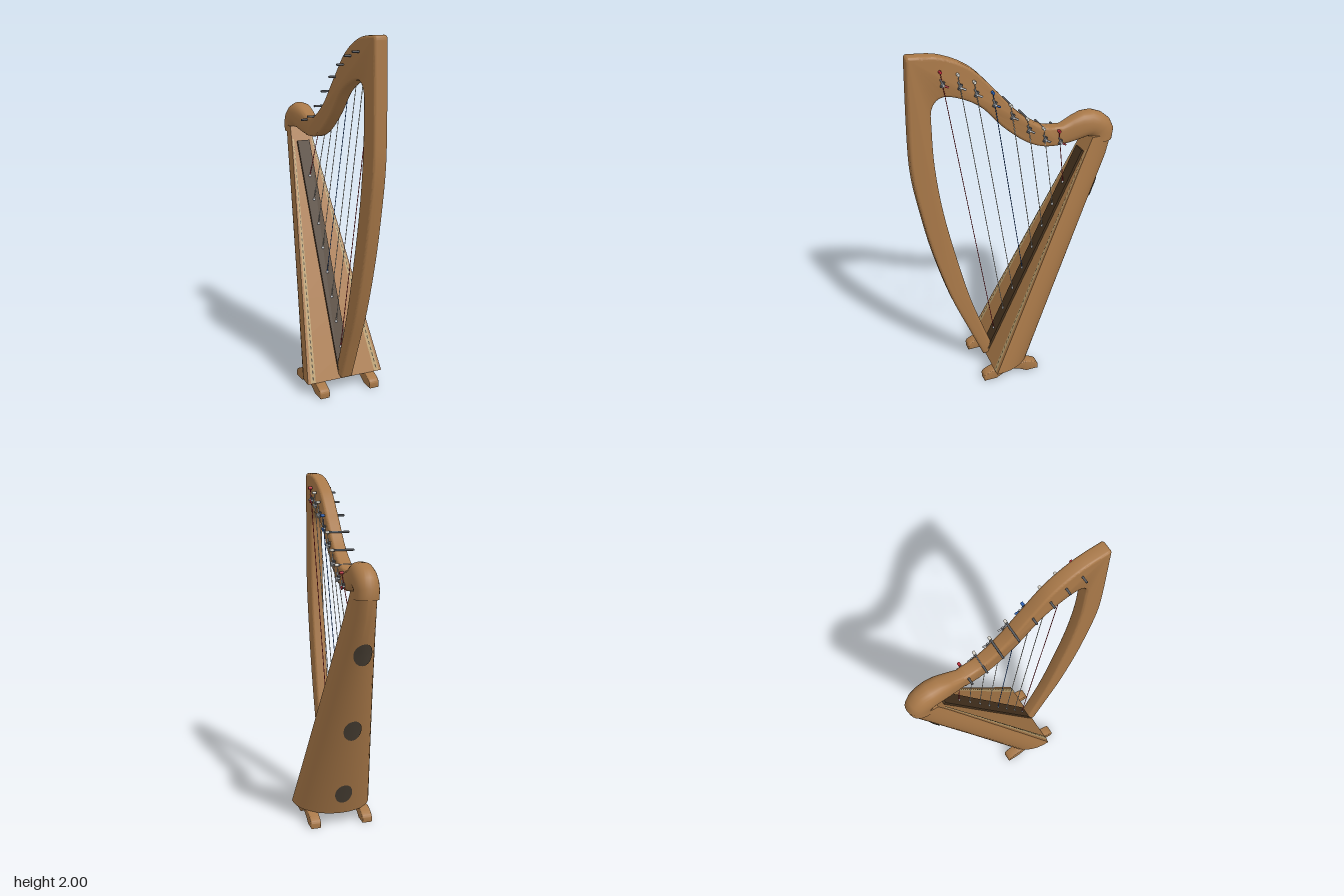
import * as THREE from 'three';
import { toCreasedNormals } from 'three/addons/utils/BufferGeometryUtils.js';

const mat = (name, color, side = THREE.FrontSide) => {
  const m = new THREE.MeshStandardMaterial({ color, side });
  m.name = name;
  return m;
};
const V = (x, y, z) => new THREE.Vector3(x, y, z);
const SLOPE = 0.4667; // soundboard lean: z lost per unit of height
const boardZ = (y) => 0.2 - (y - 0.07) * SLOPE;

// Soundbox stations: height, back z, half width
const STATIONS = [[0.07, -0.06, 0.232], [0.5, -0.23, 0.176], [1.0, -0.427, 0.112], [1.3, -0.545, 0.074], [1.45, -0.582, 0.06]];
function station(y) {
  let i = 0;
  while (i < STATIONS.length - 2 && y > STATIONS[i + 1][0]) i++;
  const a = STATIONS[i], b = STATIONS[i + 1], t = (y - a[0]) / (b[0] - a[0]);
  return { back: a[1] + (b[1] - a[1]) * t, w: a[2] + (b[2] - a[2]) * t };
}
// Point on the rounded back; angle 0..PI runs from one board edge to the other
function bodyPoint(y, a, lift = 0) {
  const { back, w } = station(y), depth = boardZ(y) - back;
  const s = Math.pow(Math.max(0, Math.sin(a)), 0.85);
  return V((w + lift) * Math.cos(a), y, boardZ(y) - (depth + lift) * s);
}

// Skin a list of closed rings and cap both ends
function loft(rings, crease = 0.7) {
  const n = rings[0].length, pos = [], idx = [];
  rings.forEach((r) => r.forEach((p) => pos.push(p.x, p.y, p.z)));
  for (let i = 0; i < rings.length - 1; i++)
    for (let j = 0; j < n; j++) {
      const k = (j + 1) % n, a = i * n + j, b = i * n + k, c = a + n, d = b + n;
      idx.push(a, b, d, a, d, c);
    }
  const last = (rings.length - 1) * n;
  for (let j = 1; j < n - 1; j++) idx.push(0, j + 1, j, last, last + j, last + j + 1);
  const g = new THREE.BufferGeometry();
  g.setAttribute('position', new THREE.Float32BufferAttribute(pos, 3));
  g.setIndex(idx);
  return toCreasedNormals(g, crease);
}

// Extrude a (z, y) outline across x, centred on x = 0
function slab(shape, width, bevel, curveSegments = 12) {
  const g = new THREE.ExtrudeGeometry(shape, {
    depth: width - 2 * bevel, bevelEnabled: true, bevelSize: bevel, bevelOffset: -bevel,
    bevelThickness: bevel, bevelSegments: 3, curveSegments,
  });
  g.translate(0, 0, -(width - 2 * bevel) / 2);
  g.rotateY(-Math.PI / 2);
  return toCreasedNormals(g, 0.6);
}
const spline = (shape, pts) => shape.splineThru(pts.map(([z, y]) => new THREE.Vector2(z, y)));

// Thin strip lying on the soundboard between two fractions of its half width
function boardStrip(f0, f1, y0, y1, lift, steps) {
  const pos = [], idx = [];
  for (let i = 0; i <= steps; i++) {
    const y = y0 + ((y1 - y0) * i) / steps, w = station(y).w;
    for (const f of [f0, f1]) pos.push(w * f, y, boardZ(y) + lift);
    if (i) idx.push(2 * i - 2, 2 * i - 1, 2 * i + 1, 2 * i - 2, 2 * i + 1, 2 * i);
  }
  const g = new THREE.BufferGeometry();
  g.setAttribute('position', new THREE.Float32BufferAttribute(pos, 3));
  g.setIndex(idx);
  g.computeVertexNormals();
  return g;
}

// Cylinder between two points
function rod(a, b, r, sides = 8) {
  const d = b.clone().sub(a), g = new THREE.CylinderGeometry(r, r, d.length(), sides);
  g.applyQuaternion(new THREE.Quaternion().setFromUnitVectors(V(0, 1, 0), d.clone().normalize()));
  const c = a.clone().add(b).multiplyScalar(0.5);
  return g.translate(c.x, c.y, c.z);
}

export function createModel() {
  const group = new THREE.Group();
  const wood = mat('wood', 0xa87848);
  const darkWood = mat('darkWood', 0x46331f);
  const inlay = mat('inlay', 0xb89c6c, THREE.DoubleSide);
  const inlayDark = mat('inlayDark', 0x4a4026, THREE.DoubleSide);
  const hole = mat('holeShade', 0x483f34, THREE.DoubleSide);
  const steel = mat('steel', 0x5a5c60);
  const silver = mat('silver', 0xc4c8cc);
  const white = mat('whiteString', 0xdedad0);
  const red = mat('redString', 0xc0303c);
  const blue = mat('blueString', 0x3068c0);
  const add = (name, geo, m) => {
    const mesh = new THREE.Mesh(geo, m);
    mesh.name = name;
    group.add(mesh);
    return mesh;
  };

  // Pillar and neck in one curved outline
  const frame = new THREE.Shape();
  frame.moveTo(-0.26, 1.51);
  spline(frame, [[-0.155, 1.526], [-0.02, 1.62], [0.11, 1.765], [0.245, 1.905], [0.4, 1.982], [0.555, 2.0]]);
  frame.quadraticCurveTo(0.57, 2.0, 0.572, 1.98);
  spline(frame, [[0.583, 1.55], [0.577, 1.34], [0.545, 1.13], [0.49, 0.86], [0.4, 0.545], [0.297, 0.28], [0.217, 0.08]]);
  frame.lineTo(0.165, 0.08);
  frame.lineTo(0.165, 0.15);
  spline(frame, [[0.28, 0.49], [0.366, 0.84], [0.424, 1.13], [0.455, 1.39], [0.461, 1.6], [0.455, 1.72], [0.4, 1.772],
    [0.3, 1.75], [0.19, 1.685], [0.075, 1.56], [-0.05, 1.457], [-0.155, 1.41], [-0.26, 1.4]]);
  add('pillarAndNeck', slab(frame, 0.075, 0.014, 36), wood);

  // Shoulder: outer z,y / inner z,y / half width / squareness
  const shoulder = [
    [-0.2, 1.508, -0.2, 1.408, 0.034, 0.5], [-0.27, 1.514, -0.27, 1.4, 0.04, 0.55], [-0.33, 1.545, -0.32, 1.405, 0.049, 0.65],
    [-0.39, 1.568, -0.36, 1.412, 0.058, 0.75], [-0.45, 1.57, -0.395, 1.42, 0.064, 0.85], [-0.51, 1.547, -0.415, 1.425, 0.065, 0.9],
    [-0.556, 1.508, -0.43, 1.422, 0.064, 0.9], [-0.581, 1.455, -0.436, 1.415, 0.062, 0.9], [-0.573, 1.395, -0.43, 1.39, 0.063, 0.9],
  ];
  const pw = (v, e) => Math.sign(v) * Math.pow(Math.abs(v), e);
  add('shoulder', loft(shoulder.map(([oz, oy, iz, iy, w, e]) =>
    Array.from({ length: 28 }, (_, j) => {
      const a = (j / 28) * Math.PI * 2, c = pw(Math.cos(a), e);
      return V(w * pw(Math.sin(a), e), (oy + iy) / 2 + (c * (oy - iy)) / 2, (oz + iz) / 2 + (c * (oz - iz)) / 2);
    })), 1.0), wood);

  // Soundbox: flat board in front, rounded back
  const levels = [0.07, 0.3, 0.5, 0.75, 1.0, 1.15, 1.3, 1.38, 1.43];
  add('soundbox', loft(levels.map((y) =>
    Array.from({ length: 25 }, (_, j) => bodyPoint(y, (j / 24) * Math.PI)))), wood);

  // Edge inlays with dark dashes
  for (const s of [-1, 1]) {
    add('edgeInlay', boardStrip(s * 0.8, s * 0.93, 0.075, 1.36, 0.004, 12), inlay);
    for (let i = 0; i < 40; i++) {
      const y = 0.09 + i * 0.031;
      add('inlayDash', boardStrip(s * 0.85, s * 0.88, y, y + 0.018, 0.007, 1), inlayDark);
    }
  }

  // String rib along the middle of the soundboard
  const rib = add('stringRib', new THREE.BoxGeometry(0.076, 1.36, 0.02), darkWood);
  rib.position.set(0, 0.73, boardZ(0.73) + 0.004);
  rib.rotation.x = -Math.atan(SLOPE);

  // Sound holes following the back, and one underneath
  for (const y0 of [0.21, 0.64, 1.1]) {
    const rim = 28, pos = [], idx = [], put = (r, a) => {
      const y = y0 + 0.062 * r * Math.sin(a);
      const p = bodyPoint(y, Math.PI / 2 + (0.05 * r * Math.cos(a)) / station(y).w, 0.005);
      pos.push(p.x, p.y, p.z);
    };
    put(0, 0);
    for (const r of [0.5, 1]) for (let j = 0; j < rim; j++) put(r, (j / rim) * Math.PI * 2);
    for (let j = 0; j < rim; j++) {
      const a = 1 + j, b = 1 + ((j + 1) % rim);
      idx.push(0, b, a, a, b, b + rim, a, b + rim, a + rim);
    }
    const g = new THREE.BufferGeometry();
    g.setAttribute('position', new THREE.Float32BufferAttribute(pos, 3));
    g.setIndex(idx);
    g.computeVertexNormals();
    add('soundHole', g, hole);
  }
  const under = add('baseHole', new THREE.CylinderGeometry(0.06, 0.06, 0.006, 28), hole);
  under.scale.x = 1.3;
  under.position.set(0, 0.069, 0.07);

  // Arched feet
  const foot = new THREE.Shape();
  foot.moveTo(-0.08, 0);
  foot.lineTo(-0.005, 0);
  spline(foot, [[0.04, 0.025], [0.09, 0.038], [0.14, 0.025], [0.185, 0]]);
  foot.lineTo(0.262, 0);
  spline(foot, [[0.262, 0.035], [0.24, 0.054], [0.19, 0.073]]);
  foot.lineTo(-0.01, 0.073);
  spline(foot, [[-0.055, 0.054], [-0.078, 0.034], [-0.08, 0]]);
  for (const s of [-1, 1]) add(s > 0 ? 'leftFoot' : 'rightFoot', slab(foot, 0.06, 0.006), wood).position.x = s * 0.155;

  // Strings with tuning pins and levers
  const pins = [[0.41, 1.915], [0.32, 1.89], [0.235, 1.84], [0.138, 1.77], [0.04, 1.685], [-0.053, 1.595], [-0.147, 1.525], [-0.237, 1.495]];
  pins.forEach(([z, y], i) => {
    const m = i === 0 || i === 7 ? red : i === 3 ? blue : white;
    const top = V(0.05, y, z), endY = 0.235 + i * 0.131, end = V(0, endY, boardZ(endY) + 0.014);
    add('string', rod(top, end, 0.0022, 6), m);
    add('tuningPin', rod(V(-0.075, y, z), V(0.058, y, z), 0.006), steel);
    add('stringWinding', rod(V(0.042, y, z), V(0.062, y, z), 0.008, 10), m);
    add('stringBead', new THREE.SphereGeometry(0.008, 8, 6), silver).position.copy(end);
    // Lever body, pivot and handle sit on the neck just below the pin
    const ly = y - 0.068, lz = z - 0.012;
    const plate = add('leverPlate', new THREE.BoxGeometry(0.016, 0.032, 0.012), steel);
    plate.position.set(0.044, ly, lz);
    plate.rotation.x = -0.5;
    add('leverPivot', rod(V(0.036, ly, lz), V(0.062, ly, lz), 0.007), silver);
    add('leverHandle', rod(V(0.054, ly, lz), V(0.06, ly - 0.014, lz - 0.026), 0.005), m === white ? silver : m);
    add('leverArm', rod(V(0.05, ly, lz), V(0.05, ly + 0.03, lz + 0.012), 0.004), silver);
  });
  return group;
}
